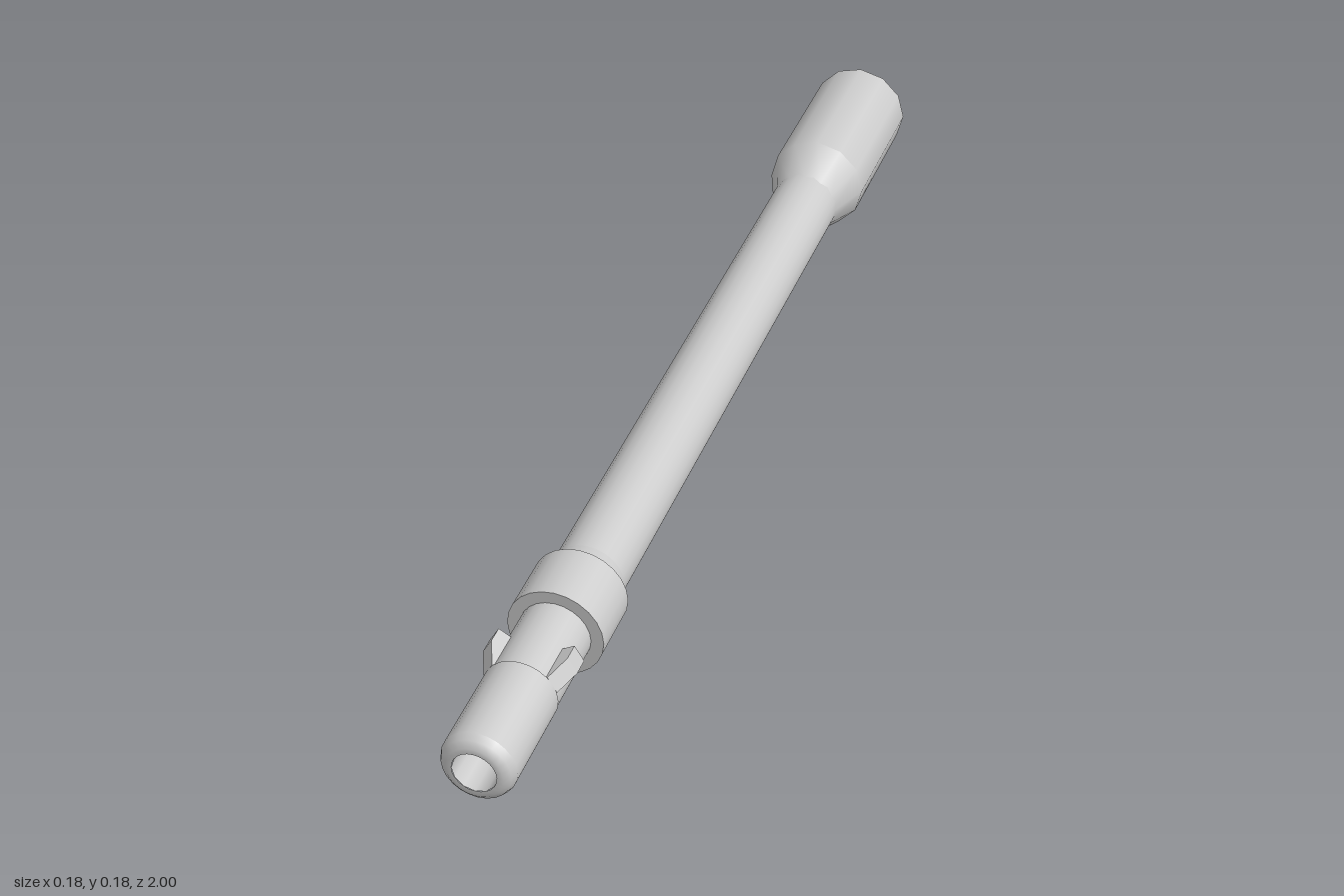
import * as THREE from 'three';
import { mergeGeometries } from 'three/addons/utils/BufferGeometryUtils.js';

const material = new THREE.MeshStandardMaterial({ color: 0xcccccc });
const AXIS_Y = 0.091;
const BORE = 0.036;

// Turned part along z: every run of [radius, z] points is smooth, edges between runs stay sharp.
function turned(name, sides, runs) {
  const parts = runs.map((run) =>
    new THREE.LatheGeometry(run.map(([r, z]) => new THREE.Vector2(r, z)), sides));
  const geometry = mergeGeometries(parts);
  geometry.rotateX(Math.PI / 2);
  const mesh = new THREE.Mesh(geometry, material);
  mesh.name = name;
  return mesh;
}

// Locking lug: wedge profile in (radius, z), extruded across its width.
function lug(angle) {
  const width = 0.03;
  const shape = new THREE.Shape();
  shape.moveTo(0.05, 0.745);
  shape.lineTo(0.08, 0.745);
  shape.lineTo(0.08, 0.775);
  shape.lineTo(0.06, 0.815);
  shape.lineTo(0.05, 0.815);
  shape.closePath();
  const geometry = new THREE.ExtrudeGeometry(shape, { depth: width, bevelEnabled: false });
  geometry.translate(0, 0, -width / 2);
  geometry.rotateX(Math.PI / 2);
  const mesh = new THREE.Mesh(geometry, material);
  mesh.rotation.z = angle;
  mesh.name = 'lockingLug';
  return mesh;
}

export function createModel() {
  const model = new THREE.Group();
  model.name = 'hollowBarrel';
  const body = new THREE.Group();
  body.name = 'body';
  body.position.y = AXIS_Y;
  model.add(body);

  body.add(
    // Thick rear section with its taper
    turned('rearSleeve', 12, [
      [[BORE, -1], [0.09, -1]],
      [[0.09, -1], [0.09, -0.71]],
      [[0.09, -0.71], [0.061, -0.63]],
    ]),
    // Long slim tube
    turned('tube', 24, [[[0.061, -0.64], [0.061, 0.53]]]),
    // Collar with a flared seat behind it
    turned('collarSeat', 24, [
      [[0.061, 0.525], [0.068, 0.56]],
    ]),
    turned('collar', 24, [
      [[0.06, 0.56], [0.08, 0.56]],
      [[0.08, 0.56], [0.08, 0.67]],
      [[0.08, 0.67], [0.055, 0.67]],
    ]),
    // Neck between collar and nose
    turned('neck', 24, [[[0.059, 0.67], [0.059, 0.82]]]),
    // Nose with a rounded muzzle
    turned('nose', 24, [
      [[0.058, 0.815], [0.061, 0.815]],
      [[0.061, 0.815], [0.061, 0.98]],
      [[0.061, 0.98], [0.056, 0.992], [0.046, 1], [BORE, 1]],
    ]),
    // Through hole
    turned('bore', 12, [[[BORE, 1], [BORE, -1]]]),
  );

  // Three lugs around the nose
  for (let i = 0; i < 3; i++) body.add(lug(Math.PI / 6 + (i * 2 * Math.PI) / 3));

  return model;
}
